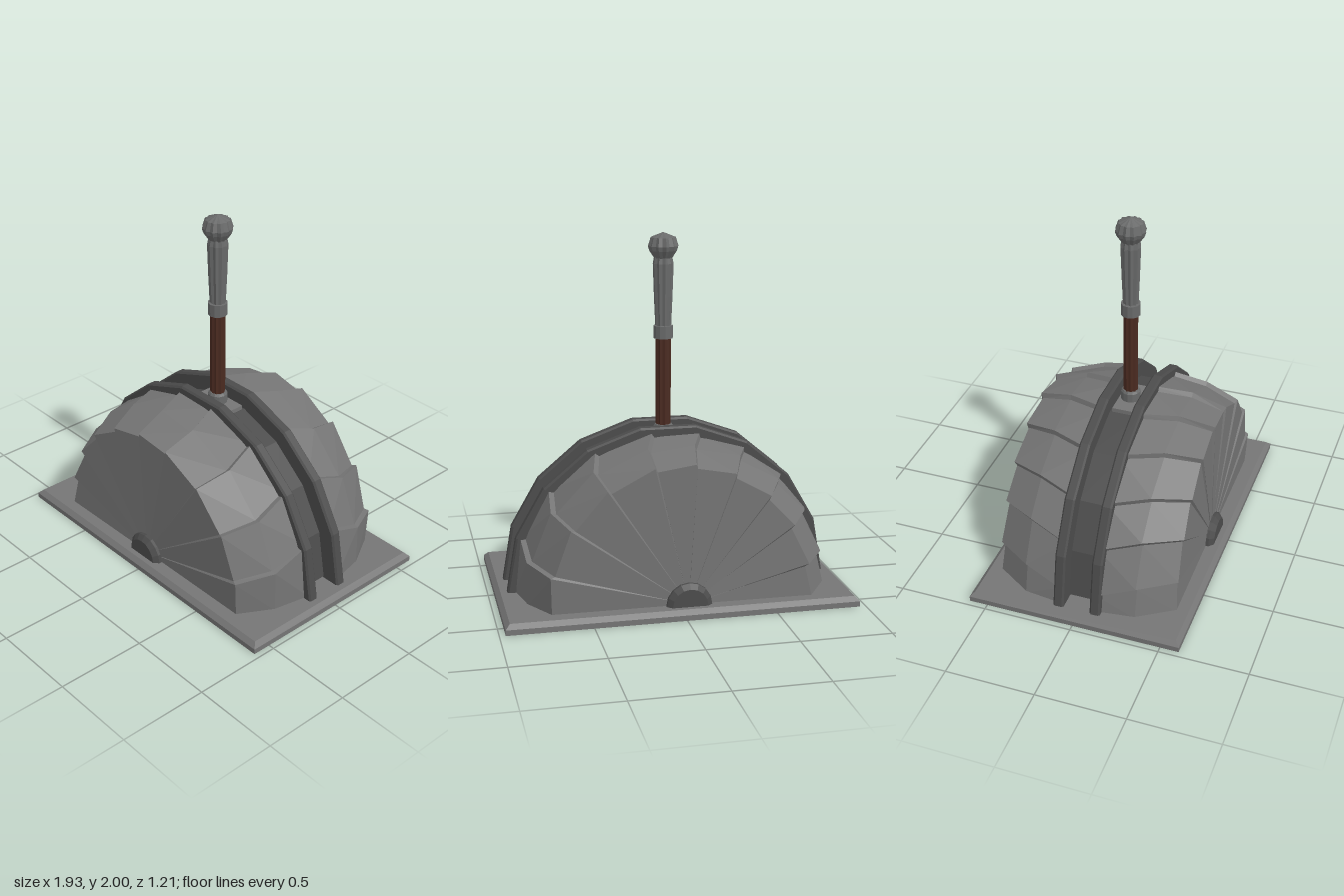
import * as THREE from 'three';

const mat = (name, color) => new THREE.MeshStandardMaterial({ name, color, side: THREE.DoubleSide });
const DEG = Math.PI / 180;
const FLOOR = 0.055; // top of the base, where the domes start

// Faceted normals
function flat(geo) {
  const g = geo.index ? geo.toNonIndexed() : geo;
  g.computeVertexNormals();
  return g;
}

// Lathe with alternate ridges pulled in to make flutes
function fluted(profile, sides, depth) {
  const geo = new THREE.LatheGeometry(profile.map(p => new THREE.Vector2(...p)), sides);
  const pos = geo.attributes.position;
  for (let i = 0; i < pos.count; i++) {
    const k = Math.floor(i / profile.length) % 2 ? 1 - depth : 1;
    pos.setX(i, pos.getX(i) * k);
    pos.setZ(i, pos.getZ(i) * k);
  }
  return flat(geo);
}

function fromTriangles(out) {
  const geo = new THREE.BufferGeometry();
  geo.setAttribute('position', new THREE.Float32BufferAttribute(out, 3));
  geo.computeVertexNormals();
  return geo;
}

// Slab with a chamfered upper rim
function slab(w, d, y0, y1, y2, inset) {
  const rings = [[w, d, y0], [w, d, y1], [w - inset, d - inset, y2]]
    .map(([x, z, y]) => [[-x, y, z], [x, y, z], [x, y, -z], [-x, y, -z]]);
  const out = [];
  const quad = (a, b, c, e) => out.push(...a, ...b, ...c, ...a, ...c, ...e);
  for (let r = 0; r < 2; r++) for (let i = 0; i < 4; i++) {
    const j = (i + 1) % 4;
    quad(rings[r][i], rings[r][j], rings[r + 1][j], rings[r + 1][i]);
  }
  quad(...rings[2]);
  quad(...[...rings[0]].reverse());
  return fromTriangles(out);
}

// Radial section of a fan plate: hub, outer rim, middle, inner rim
function plateSection(angle, raised, side) {
  const rim = (r, sx, dx, skew, z) => {
    const a = (angle + skew) * DEG;
    return [dx + r * Math.cos(a) * sx, Math.max(FLOOR - 0.01, FLOOR + r * Math.sin(a)), z * side];
  };
  return [
    [-0.03, FLOOR, (0.503 + raised * 0.005) * side],
    rim(0.757 + raised * 0.025, 0.935, 0.01, 0, 0.503 + raised * 0.012),
    rim(0.812 + raised * 0.026, 1.015, 0, 1, 0.317),
    rim(0.846 + raised * 0.024, 1.02, 0, 6, 0.1),
  ];
}

// Fan plate rising toward its trailing edge, then stepping down to the next
function fanPlate(a0, a1, side) {
  const sections = [plateSection(a0, 0, side), plateSection(a1 - 0.9, 1, side), plateSection(a1, 0, side)];
  const out = [];
  const tri = (a, b, c) => out.push(...(side > 0 ? [...a, ...b, ...c] : [...a, ...c, ...b]));
  for (let s = 0; s < 2; s++) for (let i = 0; i < 3; i++) {
    const A = sections[s], B = sections[s + 1];
    tri(A[i], A[i + 1], B[i]);
    tri(A[i + 1], B[i + 1], B[i]);
  }
  return fromTriangles(out);
}

// Half ring or half disc with nine straight facets
function halfRing(outer, inner, depth, bevel) {
  const s = new THREE.Shape();
  const arc = (r, i) => [r * Math.cos(i * 20 * DEG), r * Math.sin(i * 20 * DEG)];
  s.moveTo(...arc(outer, 0));
  for (let i = 1; i <= 9; i++) s.lineTo(...arc(outer, i));
  if (inner) for (let i = 9; i >= 0; i--) s.lineTo(...arc(inner, i));
  const geo = new THREE.ExtrudeGeometry(s, {
    depth, bevelEnabled: bevel > 0, bevelSize: bevel, bevelThickness: bevel, bevelSegments: 1,
  });
  geo.translate(0, 0, -depth / 2);
  return flat(geo);
}

export function createModel() {
  const root = new THREE.Group();
  root.name = 'leverHousing';
  const steel = mat('steel', 0x757575);
  const dark = mat('dark steel', 0x4c4c4c);
  const gripMat = mat('grip metal', 0x696a6a);
  const brown = mat('brown shaft', 0x4a2a20);
  const add = (name, geo, m, x = 0, y = 0, z = 0, parent = root) => {
    const mesh = new THREE.Mesh(geo, m);
    mesh.name = name;
    mesh.position.set(x, y, z);
    parent.add(mesh);
  };

  add('base', slab(0.967, 0.605, 0, 0.03, FLOOR, 0.025), steel);

  // Slot floor between the rails
  add('slotDrum', halfRing(0.8, 0, 0.18, 0), dark, 0, FLOOR + 0.008, 0);

  // Fan-shaped domes, hubs and rails on both sides
  const seams = [-8, 16, 36.5, 58, 79.5, 97, 115, 133, 149.5, 167.5, 184];
  const hubProfile = [[0.125, 0.45], [0.125, 0.525], [0.098, 0.55], [0, 0.55]].map(p => new THREE.Vector2(...p));
  for (const side of [1, -1]) {
    const dome = new THREE.Group();
    dome.name = side > 0 ? 'frontDome' : 'backDome';
    root.add(dome);
    for (let i = 0; i < seams.length - 1; i++)
      add('fanPlate', fanPlate(seams[i], seams[i + 1], side), steel, 0, 0, 0, dome);

    const hub = new THREE.LatheGeometry(hubProfile, 8, Math.PI / 2, Math.PI);
    hub.rotateX(Math.PI / 2);
    if (side < 0) hub.rotateY(Math.PI);
    add('hub', flat(hub), dark, -0.03, FLOOR, 0, dome);

    add('rail', halfRing(0.895, 0.77, 0.04, 0.01), dark, 0, FLOOR, side * 0.105);
  }

  // Lever
  const lever = new THREE.Group();
  lever.name = 'lever';
  root.add(lever);
  add('leverPlate', flat(new THREE.BoxGeometry(0.27, 0.05, 0.125)), steel, 0, 0.85, 0, lever);
  add('lowerCollar', fluted([[0.055, 0.85], [0.055, 0.925], [0.047, 0.937], [0, 0.937]], 12, 0), gripMat, 0, 0, 0, lever);
  add('shaft', fluted([[0.042, 0.93], [0.042, 1.425]], 20, 0.12), brown, 0, 0, 0, lever);
  add('upperCollar', fluted([[0, 1.42], [0.054, 1.42], [0.054, 1.49], [0, 1.495]], 12, 0), gripMat, 0, 0, 0, lever);
  add('grip', fluted([[0.044, 1.49], [0.051, 1.65], [0.057, 1.83], [0.05, 1.865]], 20, 0.14), gripMat, 0, 0, 0, lever);
  add('pommel', fluted([[0.05, 1.86], [0.077, 1.9], [0.085, 1.925], [0.07, 1.972], [0, 2]], 24, 0.12), gripMat, 0, 0, 0, lever);
  return root;
}
